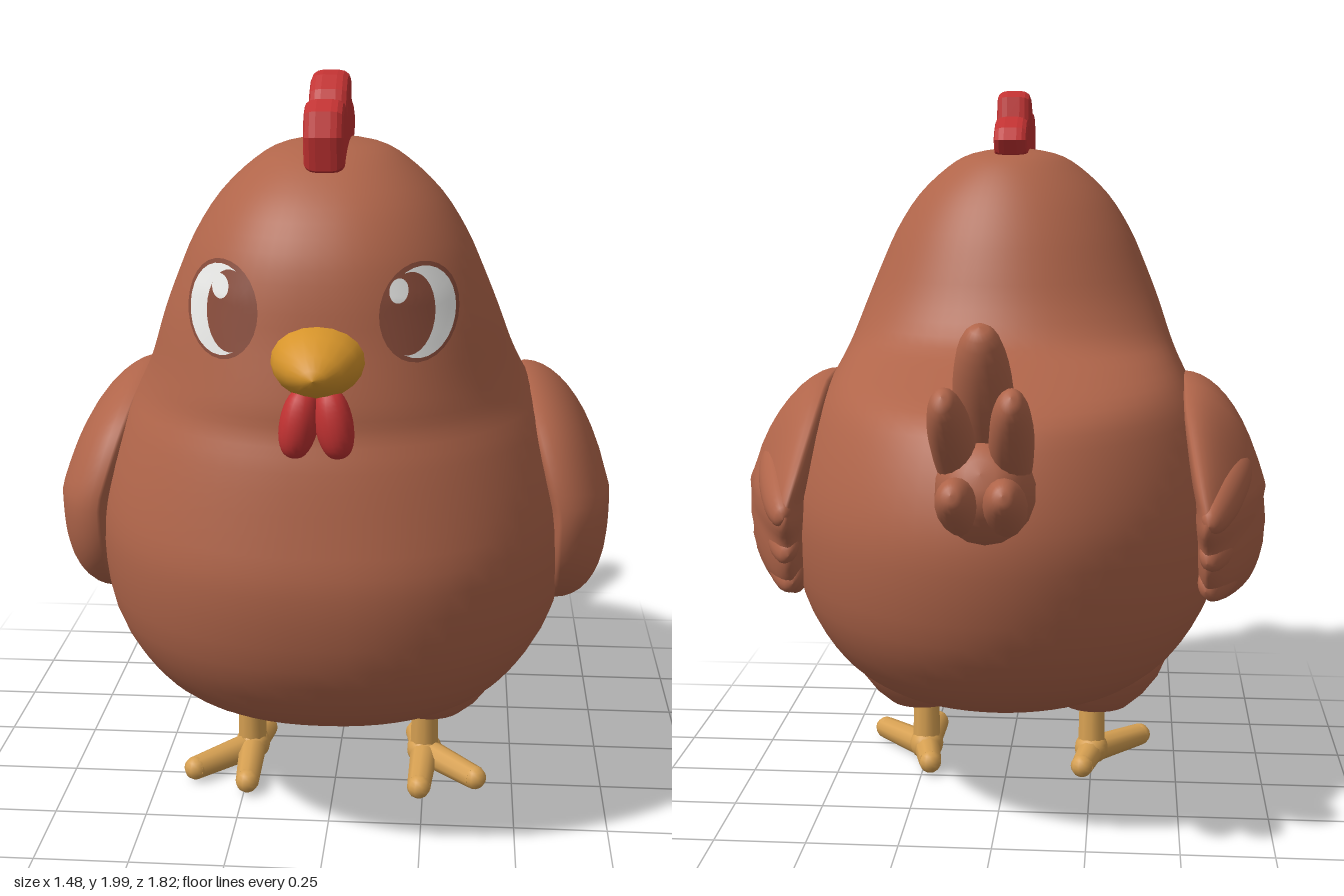
import * as THREE from 'three';
import { mergeVertices } from 'three/addons/utils/BufferGeometryUtils.js';

const mat = (name, color) => Object.assign(new THREE.MeshStandardMaterial({ color }), { name });
const V = (x, y, z) => new THREE.Vector3(x, y, z);

// Body sections from belly to crown: y, half width, z of widest point, z front, z back
const SECTIONS = [
  [0.245, 0, 0.12, 0.12, 0.12], [0.25, 0.18, 0.15, 0.3, 0], [0.3, 0.35, 0.15, 0.48, -0.24],
  [0.36, 0.445, 0.16, 0.64, -0.4], [0.45, 0.53, 0.17, 0.76, -0.53], [0.6, 0.605, 0.18, 0.85, -0.63],
  [0.8, 0.63, 0.19, 0.89, -0.68], [0.95, 0.61, 0.2, 0.87, -0.67], [1.1, 0.56, 0.2, 0.84, -0.61],
  [1.18, 0.52, 0.21, 0.815, -0.53], [1.24, 0.49, 0.23, 0.81, -0.34], [1.3, 0.465, 0.26, 0.8, -0.17],
  [1.4, 0.43, 0.31, 0.78, -0.09], [1.5, 0.39, 0.33, 0.765, -0.045], [1.6, 0.345, 0.34, 0.735, 0],
  [1.7, 0.28, 0.34, 0.67, 0.06], [1.78, 0.195, 0.34, 0.57, 0.13], [1.82, 0.12, 0.33, 0.47, 0.2],
  [1.84, 0, 0.33, 0.33, 0.33],
];
const FULL = 2.2; // roundness of the front half

function sectionAt(y) {
  let i = 0;
  while (i < SECTIONS.length - 2 && SECTIONS[i + 1][0] < y) i++;
  const a = SECTIONS[i], b = SECTIONS[i + 1], t = (y - a[0]) / (b[0] - a[0]);
  return a.map((n, k) => n + (b[k] - n) * t);
}

function faceZ(x, y) {
  const [, w, zc, zf] = sectionAt(y);
  return zc + (zf - zc) * Math.max(0, 1 - Math.abs(x / w) ** FULL) ** (1 / FULL);
}

// Smooth surface from fn(u, v), u and v in 0..1
function grid(nu, nv, fn) {
  const pos = [], idx = [];
  for (let j = 0; j <= nv; j++) {
    for (let i = 0; i <= nu; i++) {
      pos.push(...fn((i % nu) / nu, j / nv).toArray());
      if (i < nu && j < nv) {
        const a = j * (nu + 1) + i, b = a + nu + 1;
        idx.push(a, a + 1, b, a + 1, b + 1, b);
      }
    }
  }
  const g = new THREE.BufferGeometry();
  g.setAttribute('position', new THREE.Float32BufferAttribute(pos, 3));
  g.setIndex(idx);
  const merged = mergeVertices(g, 1e-5);
  merged.computeVertexNormals();
  return merged;
}

// Blunt-ended unit lobe along y
const lobe = new THREE.LatheGeometry(Array.from({ length: 17 }, (_, i) => {
  const a = (i / 16 - 0.5) * Math.PI;
  return new THREE.Vector2(Math.max(0, Math.cos(a)) ** 0.75, Math.sin(a));
}), 18);

export function createModel() {
  const root = new THREE.Group();
  root.name = 'hen';
  const feathers = mat('russet feathers', 0xb0654a);
  const red = mat('comb red', 0xc23232);
  const orange = mat('beak orange', 0xd6942a);
  const tan = mat('leg tan', 0xd6a052);
  const white = mat('eye white', 0xf0f0ee);
  const brown = mat('iris brown', 0x874b3a);

  const add = (name, geo, material, parent = root) => {
    const m = new THREE.Mesh(geo, material);
    m.name = name;
    parent.add(m);
    return m;
  };
  const between = (m, p, q) => {
    m.position.copy(p).add(q).multiplyScalar(0.5);
    m.quaternion.setFromUnitVectors(V(0, 1, 0), q.clone().sub(p).normalize());
  };
  // Rounded lobe stretched between two points
  const plume = (name, p, q, thickX, width, material, parent) => {
    const m = add(name, lobe, material, parent);
    m.scale.set(thickX, p.distanceTo(q) / 2, width);
    between(m, p, q);
  };
  // Tapered round limb between two points
  const limb = (name, p, q, r0, r1, material, parent) =>
    between(add(name, new THREE.CylinderGeometry(r1, r0, p.distanceTo(q), 10), material, parent), p, q);

  // Head and body in one loft
  const curveA = new THREE.CatmullRomCurve3(SECTIONS.map(s => V(s[1], s[0], s[2])), false, 'catmullrom');
  const curveB = new THREE.CatmullRomCurve3(SECTIONS.map(s => V(s[3], s[0], s[4])), false, 'catmullrom');
  add('body', grid(64, 54, (u, v) => {
    const a = curveA.getPoint(v), b = curveB.getPoint(v), t = u * Math.PI * 2;
    const c = Math.cos(t), s = Math.sin(t), e = c > 0 ? 2 / FULL : 1;
    const depth = c > 0 ? b.x - a.z : b.y && b.z - a.z;
    return V(a.x * Math.sign(s) * Math.abs(s) ** e, a.y, a.z + depth * Math.abs(c) ** e);
  }), feathers);

  // Comb
  const outline = [[0.61, 1.78], [0.625, 1.86], [0.605, 1.92], [0.56, 1.945], [0.505, 1.94], [0.475, 1.92],
    [0.45, 1.96], [0.405, 1.992], [0.35, 2], [0.31, 1.982], [0.295, 1.92], [0.245, 1.925], [0.19, 1.895],
    [0.165, 1.86], [0.19, 1.82], [0.3, 1.76], [0.45, 1.74]];
  const combShape = new THREE.Shape();
  outline.forEach(([z, y], i) => (i ? combShape.lineTo(z, y) : combShape.moveTo(z, y)));
  combShape.closePath();
  const comb = new THREE.ExtrudeGeometry(combShape, {
    depth: 0.036, bevelThickness: 0.03, bevelSize: 0.02, bevelOffset: -0.02, bevelSegments: 3,
  });
  comb.translate(0, 0, -0.018).rotateY(-Math.PI / 2);
  add('comb', comb, red);

  // Beak
  const beakProfile = [[0.115, -0.06], [0.115, 0], [0.1, 0.05], [0.065, 0.105], [0.03, 0.138], [0, 0.147]]
    .map(([r, h]) => new THREE.Vector2(r, h));
  const beak = add('beak', new THREE.LatheGeometry(beakProfile, 20).rotateX(Math.PI / 2), orange);
  beak.position.set(0, 1.355, 0.765);
  beak.scale.y = 0.75;
  beak.rotation.x = 0.08;

  for (const s of [1, -1]) {
    const side = s > 0 ? 'left' : 'right';

    // Wattle lobe
    plume(side + 'Wattle', V(s * 0.026, 1.3, 0.805), V(s * 0.056, 1.135, 0.82), 0.048, 0.045, red);

    // Eye: thin discs following the face
    const disc = (name, cx, cy, rx, ry, lift, m) => add(name, grid(28, 5, (u, v) => {
      const t = u * Math.PI * 2, x = cx + rx * (1 - v) * Math.cos(t), y = cy + ry * (1 - v) * Math.sin(t);
      return V(x, y, faceZ(x, y) + lift);
    }), m);
    disc(side + 'EyeRim', s * 0.235, 1.465, 0.093, 0.114, 0.008, brown);
    disc(side + 'EyeWhite', s * 0.238, 1.465, 0.082, 0.104, 0.012, white);
    disc(side + 'Iris', s * 0.212, 1.465, 0.06, 0.094, 0.016, brown);
    disc(side + 'EyeGlint', s * 0.212 - 0.025, 1.52, 0.022, 0.028, 0.02, white);

    // Wing: a domed pad over a feathered outline
    const wing = new THREE.Group();
    wing.name = side + 'Wing';
    root.add(wing);
    const rim = new THREE.CatmullRomCurve3([[0.49, 1.02], [0.515, 0.9], [0.49, 0.77], [0.42, 0.67], [0.3, 0.6],
      [0.1, 0.57], [-0.1, 0.59], [-0.26, 0.65], [-0.32, 0.72], [-0.34, 0.79], [-0.4, 0.86], [-0.37, 0.94],
      [-0.28, 1.03], [-0.12, 1.15], [0.1, 1.2], [0.3, 1.18], [0.43, 1.11]].map(([z, y]) => V(0, y, z)), true);
    add(side + 'WingPad', grid(60, 20, (u, v) => {
      const p = rim.getPoint(s > 0 ? u : (1 - u) % 1), phi = (v - 0.5) * Math.PI;
      const k = Math.max(0, Math.cos(phi)) ** 0.65;
      const y = 0.86 + (p.y - 0.86) * k, z = 0.12 + (p.z - 0.12) * k;
      const base = 0.6 - 0.3 * Math.max(0, y - 0.9) - 0.11 * Math.max(0, -z);
      const thick = v > 0.5 ? 0.14 - 0.2 * Math.max(0, -z) : 0.05;
      return V(s * (base + thick * Math.sin(phi)), y, z);
    }), feathers, wing);
    [[0.98, 0, 0.875, -0.4], [0.84, 0.02, 0.76, -0.34], [0.72, 0.04, 0.67, -0.29]].forEach(([y0, z0, y1, z1], i) =>
      plume('wingFeather' + (i + 1), V(s * 0.675, y0, z0), V(s * 0.56, y1, z1), 0.045, 0.062, feathers, wing));

    // Thigh, shank and toes
    const leg = new THREE.Group();
    leg.name = side + 'Leg';
    root.add(leg);
    const thigh = [[0, 0.185], [0.06, 0.187], [0.1, 0.2], [0.145, 0.24], [0.19, 0.3], [0.215, 0.36], [0.2, 0.43]]
      .map(([r, y]) => new THREE.Vector2(r, y));
    add('thigh', new THREE.LatheGeometry(thigh, 24), feathers, leg).position.set(s * 0.26, 0, 0.15);
    const ankle = V(s * 0.25, 0.05, 0.14);
    limb('shank', ankle, V(s * 0.25, 0.23, 0.15), 0.042, 0.038, tan, leg);
    plume('ankle', V(s * 0.25, 0.012, 0.14), V(s * 0.25, 0.1, 0.14), 0.05, 0.055, tan, leg);
    [[0.24, 0.355], [0.395, 0.29], [0.225, 0.015]].forEach(([x, z], i) => {
      const tip = V(s * x, 0.046, z);
      limb('toe' + (i + 1), ankle, tip, 0.04, 0.033, tan, leg);
      add('toeTip' + (i + 1), new THREE.SphereGeometry(0.033, 10, 8), tan, leg).position.copy(tip);
    });
  }

  // Tail fan
  const tail = new THREE.Group();
  tail.name = 'tail';
  root.add(tail);
  plume('tailBase', V(0, 0.94, -0.5), V(0, 1.09, -0.8), 0.125, 0.13, feathers, tail);
  plume('tailTop', V(0, 1.02, -0.57), V(0, 1.44, -0.81), 0.075, 0.078, feathers, tail);
  for (const s of [1, -1]) {
    plume('tailMiddle', V(s * 0.06, 1.0, -0.56), V(s * 0.08, 1.29, -0.9), 0.055, 0.075, feathers, tail);
    plume('tailLower', V(s * 0.05, 0.93, -0.58), V(s * 0.06, 1.06, -0.9), 0.055, 0.065, feathers, tail);
  }
  return root;
}
